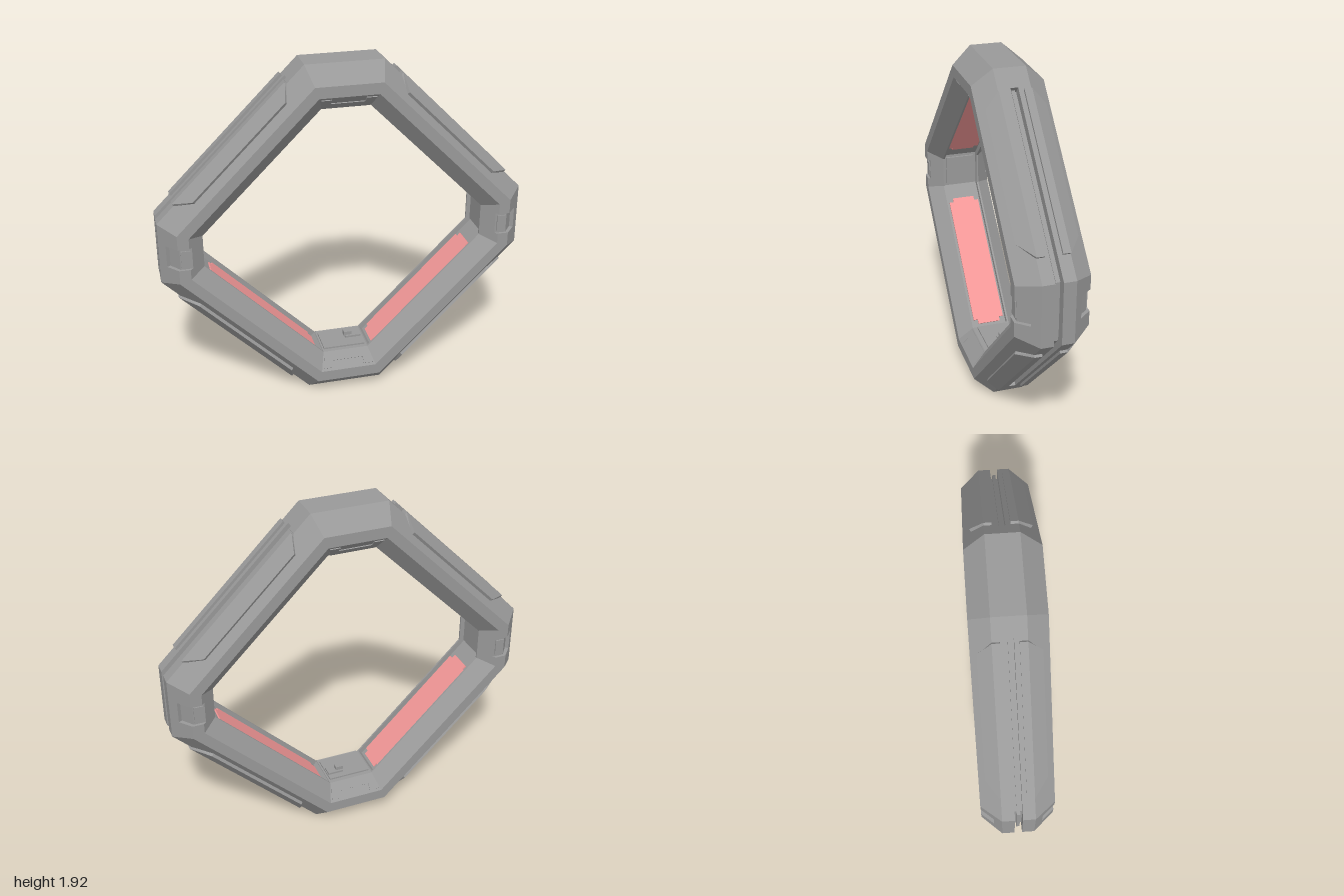
import * as THREE from 'three';

const grey = new THREE.MeshStandardMaterial({ color: 0x999999, flatShading: true });
const red = new THREE.MeshStandardMaterial({ color: 0xf29797, flatShading: true });
const K = 0.675; // diagonal walls move this far in x and y per unit of inset

// Flat-shaded geometry from quads, mirrored by signs with the winding kept outward
function quadGeometry(quads, sx, sy, sz) {
  const flip = sx * sy * sz < 0;
  const pos = [];
  for (const [a, b, c, d] of quads) {
    const tris = flip ? [a, c, b, a, d, c] : [a, b, c, a, c, d];
    for (const p of tris) pos.push(p[0] * sx, p[1] * sy, p[2] * sz);
  }
  const g = new THREE.BufferGeometry();
  g.setAttribute('position', new THREE.Float32BufferAttribute(pos, 3));
  g.computeVertexNormals();
  return g;
}

function add(parent, name, geometry, material = grey) {
  const m = new THREE.Mesh(geometry, material);
  m.name = name;
  parent.add(m);
  return m;
}

function box(parent, name, size, at) {
  add(parent, name, new THREE.BoxGeometry(...size)).position.set(...at);
}

// Ring cross-section as [inset, z]; channels cut a ribbed groove in the rim and
// a recess in the inner wall, notch sinks the latch bay
function profile(channels, notch) {
  const rib = channels ? 0.03 : 0, slot = channels ? 0.05 : 0;
  const half = [
    [rib, 0.009], [slot, 0.009], [slot, 0.02], [0, 0.02], [0, 0.085], [0.035, 0.126],
    notch ? [0.053, 0.115] : [0.035, 0.126],
    notch ? [0.1, 0.175] : [0.09, 0.19],
    notch ? [0.165, 0.175] : [0.15, 0.19],
    [0.165, 0.175], [0.23, 0.11], [0.23, 0.1], [channels ? 0.2 : 0.23, 0.1],
  ];
  return [...half, ...half.map(([d, z]) => [d, -z]).reverse()];
}

// One quarter of the ring, from top centre to side centre
function ringQuads() {
  const stations = [ // x, y, inset direction x, y, channels, notch
    [0, 0.96, 0, -1, 0, 0], [0.21, 0.96, -0.35, -1, 0, 0],
    [0.29, 0.88, -K, -K, 0, 0], [0.29, 0.88, -K, -K, 1, 0],
    [1, 0.17, -1, -0.35, 1, 0], [1, 0.06, -1, 0, 1, 0],
    [1, 0.06, -1, 0, 1, 1], [1, 0, -1, 0, 1, 1],
  ];
  const rows = stations.map(([x, y, dx, dy, g, n]) =>
    profile(g, n).map(([d, z]) => [x + dx * d, y + dy * d, z]));
  const quads = [];
  for (let i = 0; i < rows.length - 1; i++) {
    for (let j = 0; j < rows[i].length; j++) {
      const k = (j + 1) % rows[i].length;
      quads.push([rows[i][j], rows[i][k], rows[i + 1][k], rows[i + 1][j]]);
    }
  }
  return quads;
}

// Raised plate folded over the rim and chamfer of a diagonal
function armorQuads() {
  const lift = 0.014;
  const pt = (x, inset, z, up) => {
    const dz = inset > 0 ? 0.009 * up : 0;
    const s = -K * inset + lift * 0.71 * up;
    return [x + s, 1.17 - x + s, z + dz];
  };
  const outline = up => [
    pt(0.3, 0, 0.045, up), pt(0.3, 0, 0.085, up), pt(0.35, 0.053, 0.147, up),
    pt(0.84, 0.053, 0.147, up), pt(0.905, 0, 0.085, up), pt(0.905, 0, 0.045, up),
  ];
  const t = outline(1), b = outline(-0.3);
  const quads = [[t[0], t[1], t[4], t[5]], [t[1], t[2], t[3], t[4]]];
  for (let i = 0; i < 6; i++) {
    const k = (i + 1) % 6;
    quads.push([t[i], b[i], b[k], t[k]]);
  }
  return quads;
}

function extrude(points, depth) {
  const shape = new THREE.Shape(points.map(p => new THREE.Vector2(...p)));
  return new THREE.ExtrudeGeometry(shape, { depth, bevelEnabled: false });
}

// Group on an inner wall: local x along the wall, y toward the ring centre
function wall(parent, name, angle, dist) {
  const g = new THREE.Group();
  g.name = name;
  g.position.set(Math.sin(angle) * dist, -Math.cos(angle) * dist, 0);
  g.rotation.z = angle;
  parent.add(g);
  return g;
}

export function createModel() {
  const model = new THREE.Group();
  model.name = 'octagonalFrame';
  const body = new THREE.Group();
  body.name = 'ring';
  body.position.y = 0.96;
  model.add(body);

  const ring = ringQuads(), armor = armorQuads();
  for (const sx of [1, -1]) for (const sy of [1, -1]) {
    add(body, 'frameQuarter', quadGeometry(ring, sx, sy, 1));
    for (const sz of [1, -1]) add(body, 'armorPlate', quadGeometry(armor, sx, sy, sz));
  }

  // Latches in the side bays
  for (const sx of [1, -1]) for (const sz of [1, -1]) {
    box(body, 'latch', [0.05, 0.09, 0.02], [sx * 0.87, 0, sz * 0.172]);
  }

  // Coloured panels with stepped ends, sunk in the diagonal inner walls
  for (let i = 0; i < 4; i++) {
    const diagonal = wall(body, 'diagonalLining', Math.PI / 4 + i * Math.PI / 2, 0.636);
    const outline = [
      [-0.4, -0.065], [-0.375, -0.065], [-0.375, -0.09], [0.375, -0.09], [0.375, -0.065], [0.4, -0.065],
      [0.4, 0.065], [0.375, 0.065], [0.375, 0.09], [-0.375, 0.09], [-0.375, 0.065], [-0.4, 0.065],
    ];
    add(diagonal, 'colouredPanel', extrude(outline, 0.008), red).rotation.x = -Math.PI / 2;
  }

  for (const a of [0, Math.PI]) {
    // Top and bottom hardware: deck, step and small catch
    const deck = wall(body, 'innerDeck', a, 0.73);
    box(deck, 'deckPlate', [0.24, 0.014, 0.17], [0, 0.002, 0]);
    box(deck, 'deckStep', [0.09, 0.02, 0.06], [0.07, 0.01, -0.02]);
    box(deck, 'catch', [0.045, 0.026, 0.035], [0.042, 0.027, -0.02]);
    // Notched cover on the front and back bevels
    for (const turn of [0, Math.PI]) {
      const side = new THREE.Group();
      side.name = 'bevelCover';
      side.rotation.y = turn;
      deck.add(side);
      const cover = add(side, 'notchedCover', extrude([
        [-0.145, -0.04], [-0.09, -0.04], [-0.09, 0], [0.09, 0], [0.09, -0.04],
        [0.145, -0.04], [0.125, 0.05], [-0.125, 0.05],
      ], 0.009));
      cover.position.set(0, -0.043, 0.147);
      cover.rotation.x = -Math.PI / 4;
    }
    // Plate sunk in the side inner wall
    const sideWall = wall(body, 'sideLining', a + Math.PI / 2, 0.8);
    box(sideWall, 'sidePlate', [0.17, 0.016, 0.17], [0, 0.004, 0]);
  }
  return model;
}
